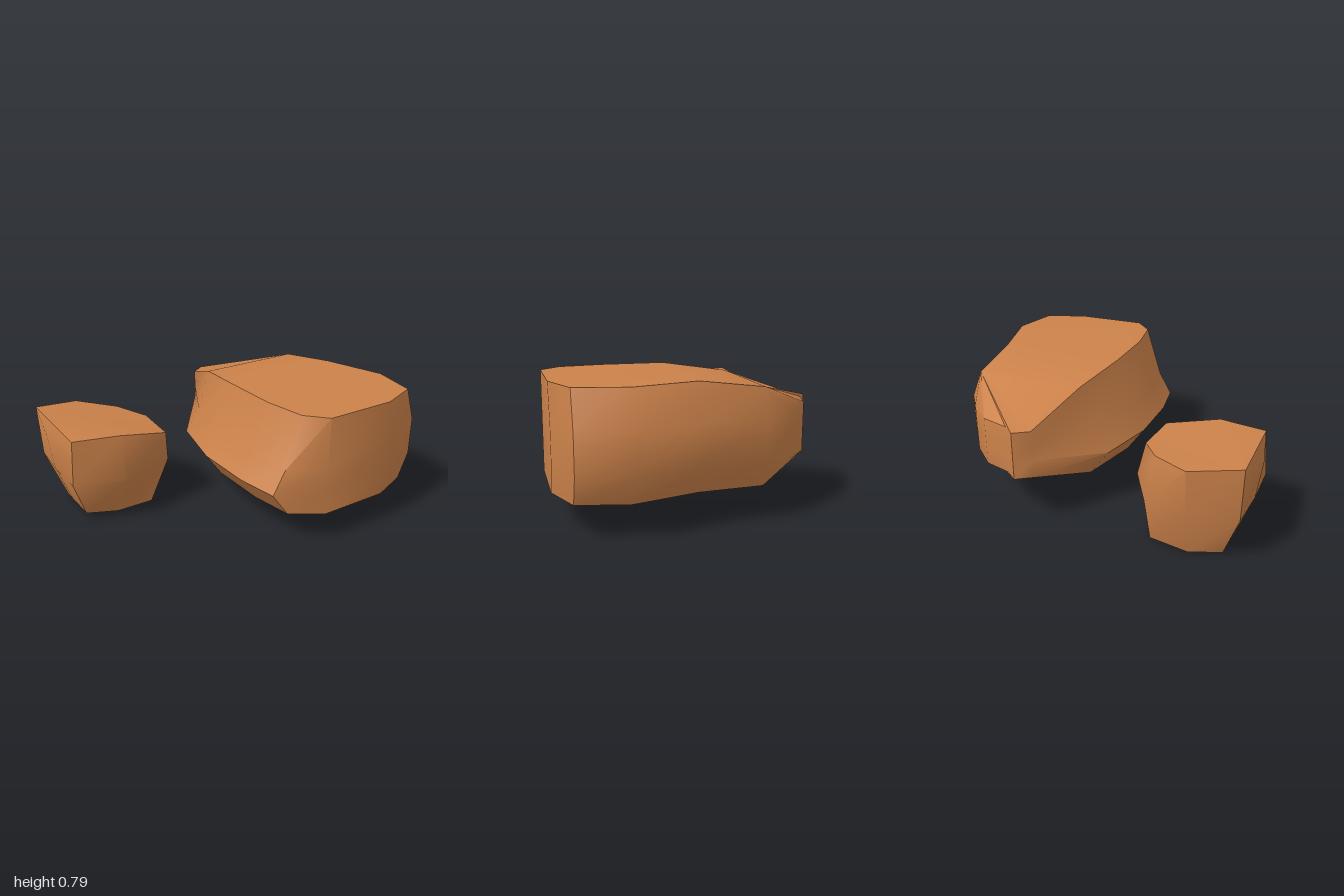
import * as THREE from 'three';
import { toCreasedNormals } from 'three/addons/utils/BufferGeometryUtils.js';

// Skins upright profiles (listed counterclockwise from above, points bottom to top),
// then closes top and bottom with fans over the given station groups.
function rockGeometry(stations, caps) {
  const n = stations.length, m = stations[0].length, index = [];
  for (let i = 0; i < n; i++) {
    const j = (i + 1) % n;
    for (let k = 0; k < m - 1; k++) {
      const a = i * m + k, b = j * m + k;
      index.push(a, b, b + 1, a, b + 1, a + 1);
    }
  }
  for (const cap of caps) {
    for (let k = 1; k < cap.length - 1; k++) {
      const [a, b, c] = [cap[0] * m, cap[k] * m, cap[k + 1] * m];
      index.push(a + m - 1, b + m - 1, c + m - 1, a, c, b);
    }
  }
  const geometry = new THREE.BufferGeometry();
  geometry.setAttribute('position', new THREE.Float32BufferAttribute(stations.flat(2), 3));
  geometry.setIndex(index);
  return toCreasedNormals(geometry, 0.8);
}

// One upright profile at depth z: four x values at four heights
const profile = (z, xs, ys) => xs.map((x, k) => [x, ys[k], z]);

export function createModel() {
  const group = new THREE.Group();
  const stone = new THREE.MeshStandardMaterial({ color: 0xcc824a });
  stone.name = 'brown stone';

  // Large rock: broad flat front, tapering to a low blunt tip at the back
  const right = [0.19, 0.35, 0.58, 0.79], left = [0.19, 0.34, 0.48, 0.79];
  const tip = [0.315, 0.42, 0.5, 0.605];
  const straight = (x, z) => profile(z, [x, x, x, x], tip);
  const largeStations = [
    profile(0.79, [0.18, 0.18, 0.18, 0.18], left),
    profile(0.79, [0.62, 0.69, 0.69, 0.62], right),
    profile(0.7, [0.86, 0.93, 0.93, 0.86], right),
    profile(0.41, [0.92, 1, 1, 0.92], right),
    profile(0.03, [0.81, 0.89, 0.89, 0.81], right),
    profile(-0.35, [0.78, 0.85, 0.85, 0.78], [0.19, 0.35, 0.57, 0.74]),
    straight(0.71, -0.54),
    straight(0.56, -0.68),
    straight(0.39, -0.73),
    straight(0.32, -0.79),
    straight(0.23, -0.73),
    profile(-0.35, [0.05, -0.07, 0.03, 0.11], [0.19, 0.35, 0.49, 0.74]),
    profile(0.03, [-0.04, -0.15, -0.07, 0.03], left),
    profile(0.41, [-0.04, -0.15, -0.07, 0.03], left),
    profile(0.67, [0, -0.11, -0.03, 0.07], left),
  ];
  const largeCaps = [
    [0, 1, 2, 3, 4, 12, 13, 14],
    [4, 5, 11, 12],
    [5, 6, 7, 8, 9, 10, 11],
  ];
  const largeRock = new THREE.Mesh(rockGeometry(largeStations, largeCaps), stone);
  largeRock.name = 'largeRock';

  // Small rock: narrow base, bulging middle and a sloping top
  const smallStations = [
    [[-0.85, 0, -0.58], [-0.95, 0.29, -0.68], [-0.96, 0.605, -0.7]],
    [[-0.88, 0.05, -0.42], [-0.97, 0.29, -0.42], [-1, 0.51, -0.42]],
    [[-0.88, 0.05, -0.2], [-0.97, 0.29, -0.14], [-0.95, 0.57, -0.15]],
    [[-0.67, 0, -0.2], [-0.67, 0.29, -0.04], [-0.67, 0.565, -0.09]],
    [[-0.43, 0, -0.2], [-0.32, 0.29, -0.16], [-0.35, 0.495, -0.12]],
    [[-0.36, 0.05, -0.42], [-0.28, 0.29, -0.42], [-0.33, 0.5, -0.42]],
    [[-0.43, 0, -0.6], [-0.42, 0.29, -0.68], [-0.45, 0.53, -0.6]],
    [[-0.67, 0, -0.65], [-0.67, 0.29, -0.72], [-0.67, 0.565, -0.76]],
  ];
  const smallCaps = [[0, 1, 2], [0, 2, 3, 4, 5, 6, 7]];
  const smallRock = new THREE.Mesh(rockGeometry(smallStations, smallCaps), stone);
  smallRock.name = 'smallRock';

  group.add(largeRock, smallRock);
  return group;
}
